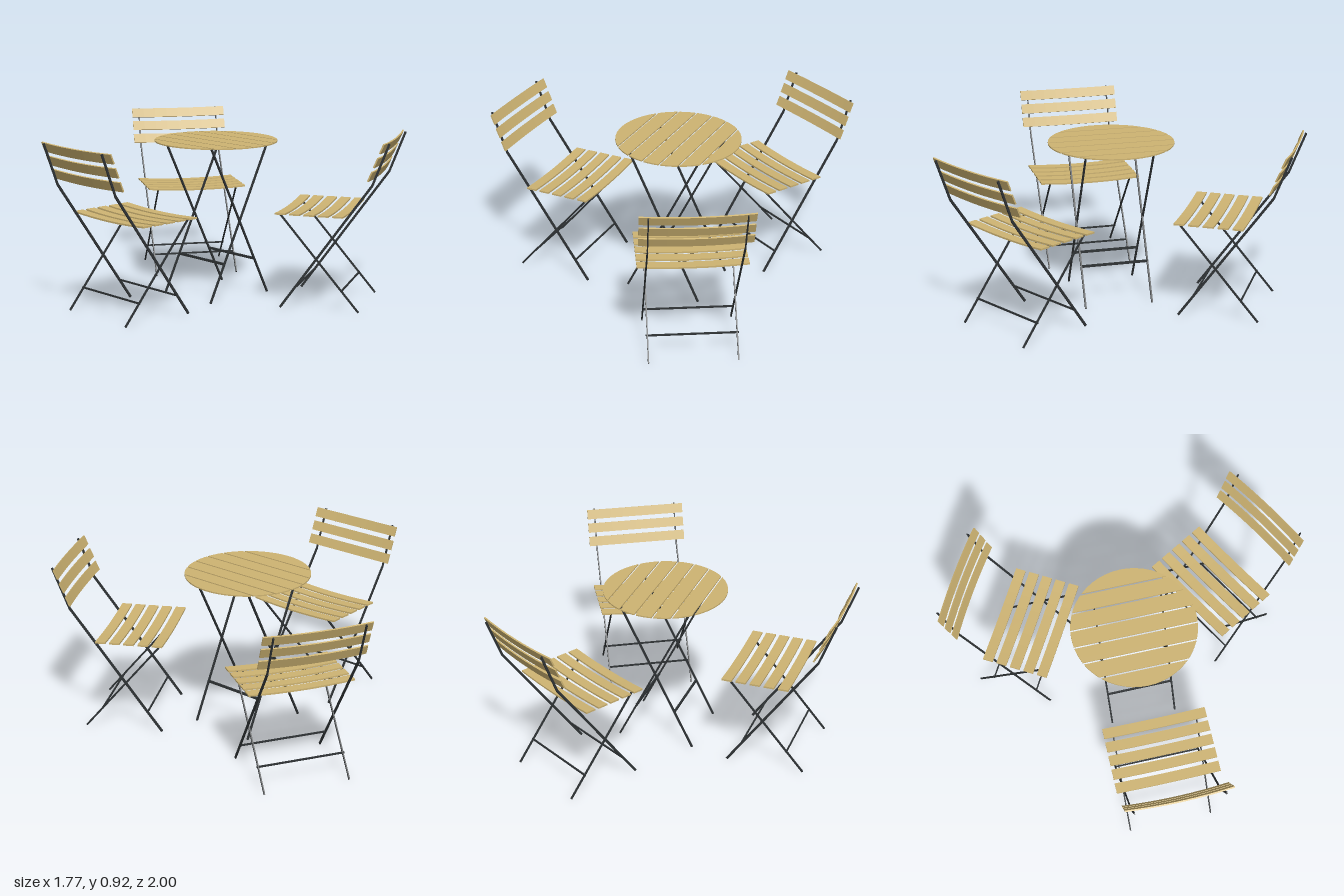
import * as THREE from 'three';

const wood = new THREE.MeshStandardMaterial({ color: 0xcdb372 });
const metal = new THREE.MeshStandardMaterial({ color: 0x2f3335 });
const V = (x, y, z) => new THREE.Vector3(x, y, z);

function add(parent, name, geometry, material) {
  const mesh = new THREE.Mesh(geometry, material);
  mesh.name = name;
  parent.add(mesh);
  return mesh;
}

// Flat bar between two points: sideways thickness, then depth
function bar(parent, name, a, b, thickness, depth) {
  const mesh = add(parent, name, new THREE.BoxGeometry(thickness, depth, a.distanceTo(b)), metal);
  mesh.position.copy(a).lerp(b, 0.5);
  mesh.lookAt(b);
}

// Slat: length along x, bowed so its ends rise in y, width along z
function slatGeometry(length, width, thickness, bow) {
  const n = 8, lower = [], upper = [];
  for (let i = 0; i <= n; i++) {
    const t = (i / n) * 2 - 1;
    lower.push(new THREE.Vector2(t * length / 2, bow * t * t));
    upper.unshift(new THREE.Vector2(t * length / 2, bow * t * t + thickness));
  }
  const geometry = new THREE.ExtrudeGeometry(new THREE.Shape([...lower, ...upper]),
    { depth: width, bevelEnabled: false });
  return geometry.translate(0, 0, -width / 2);
}

function createChair() {
  const chair = new THREE.Group();
  chair.name = 'chair';
  const mid = 0.017;

  // Seat slats, dished across the width
  for (let i = 0; i < 5; i++) {
    const slat = add(chair, 'seatSlat', slatGeometry(0.57, 0.056, 0.009, 0.011), wood);
    slat.rotation.y = Math.PI / 2;
    slat.position.set(-0.622 + i * 0.078, 0.505, mid);
  }

  // Back slats, curved and leaning backwards
  const up = V(-0.085, 0.2, 0).normalize();
  const forward = V(up.y, -up.x, 0);
  for (const y of [0.739, 0.813, 0.887]) {
    const slat = add(chair, 'backSlat', slatGeometry(0.57, 0.055, 0.008, 0.013), wood);
    slat.quaternion.setFromRotationMatrix(
      new THREE.Matrix4().makeBasis(V(0, 0, 1), forward, up));
    slat.position.set(-0.797 - 0.4 * (y - 0.72), y, mid);
  }

  // Folding frame, one pair of crossed legs on each side
  for (const s of [-1, 1]) {
    const outer = mid + s * 0.24, inner = mid + s * 0.232;
    const bend = V(-0.795, 0.692, outer);
    bar(chair, 'longLeg', V(-0.305, 0, outer), bend, 0.007, 0.013);
    bar(chair, 'backPost', bend, V(-0.88, 0.916, outer), 0.006, 0.012);
    bar(chair, 'shortLeg', V(-0.733, 0, inner), V(-0.295, 0.514, inner), 0.007, 0.01);
  }

  // Cross bars near the floor
  for (const x of [-0.383, -0.639]) {
    bar(chair, 'legCrossBar', V(x, 0.11, mid - 0.24), V(x, 0.11, mid + 0.24), 0.007, 0.009);
  }
  return chair;
}

function createTable() {
  const table = new THREE.Group();
  table.name = 'table';

  // Round top cut into seven parallel slats
  const R = 0.339, count = 7, pitch = 2 * R / count, gap = 0.01;
  for (let i = 0; i < count; i++) {
    const x0 = -R + i * pitch + (i > 0 ? gap / 2 : 0);
    const x1 = -R + (i + 1) * pitch - (i < count - 1 ? gap / 2 : 0);
    const a0 = Math.acos(Math.max(-1, x0 / R)), a1 = Math.acos(Math.min(1, x1 / R));
    const far = [], near = [];
    for (let k = 0; k <= 6; k++) {
      const a = a0 + (a1 - a0) * k / 6;
      const x = R * Math.cos(a), z = R * Math.sin(a);
      far.push(new THREE.Vector2(x, z));
      if (z > 0.001) near.unshift(new THREE.Vector2(x, -z));
    }
    const geometry = new THREE.ExtrudeGeometry(new THREE.Shape([...far, ...near]),
      { depth: 0.007, bevelEnabled: false });
    geometry.rotateX(Math.PI / 2).translate(0, 0.863, 0);
    add(table, 'topSlat', geometry, wood);
  }

  // Crossed legs with a cross bar on each folding frame
  const mid = 0.007, h = 0.856;
  for (const f of [-1, 1]) {
    for (const s of [-1, 1]) {
      const z = mid + s * 0.185 + f * 0.002;
      bar(table, 'tableLeg', V(f * 0.215, 0, z), V(-f * 0.215, h, z), 0.009, 0.01);
    }
    const x = f * 0.215 * (1 - 2 * 0.205 / h);
    bar(table, 'tableCrossBar', V(x, 0.205, mid - 0.185), V(x, 0.205, mid + 0.185), 0.009, 0.013);
  }
  return table;
}

export function createModel() {
  const model = new THREE.Group();
  model.name = 'bistroSet';
  const centre = V(0.129, 0, 0.004);

  const table = createTable();
  table.position.copy(centre);
  model.add(table);

  // Three chairs evenly spaced around the table
  for (let i = 0; i < 3; i++) {
    const place = new THREE.Group();
    place.name = 'chairPlace';
    const chair = createChair();
    chair.position.copy(centre).negate();
    place.add(chair);
    place.position.copy(centre);
    place.rotation.y = i * Math.PI * 2 / 3;
    model.add(place);
  }
  return model;
}
